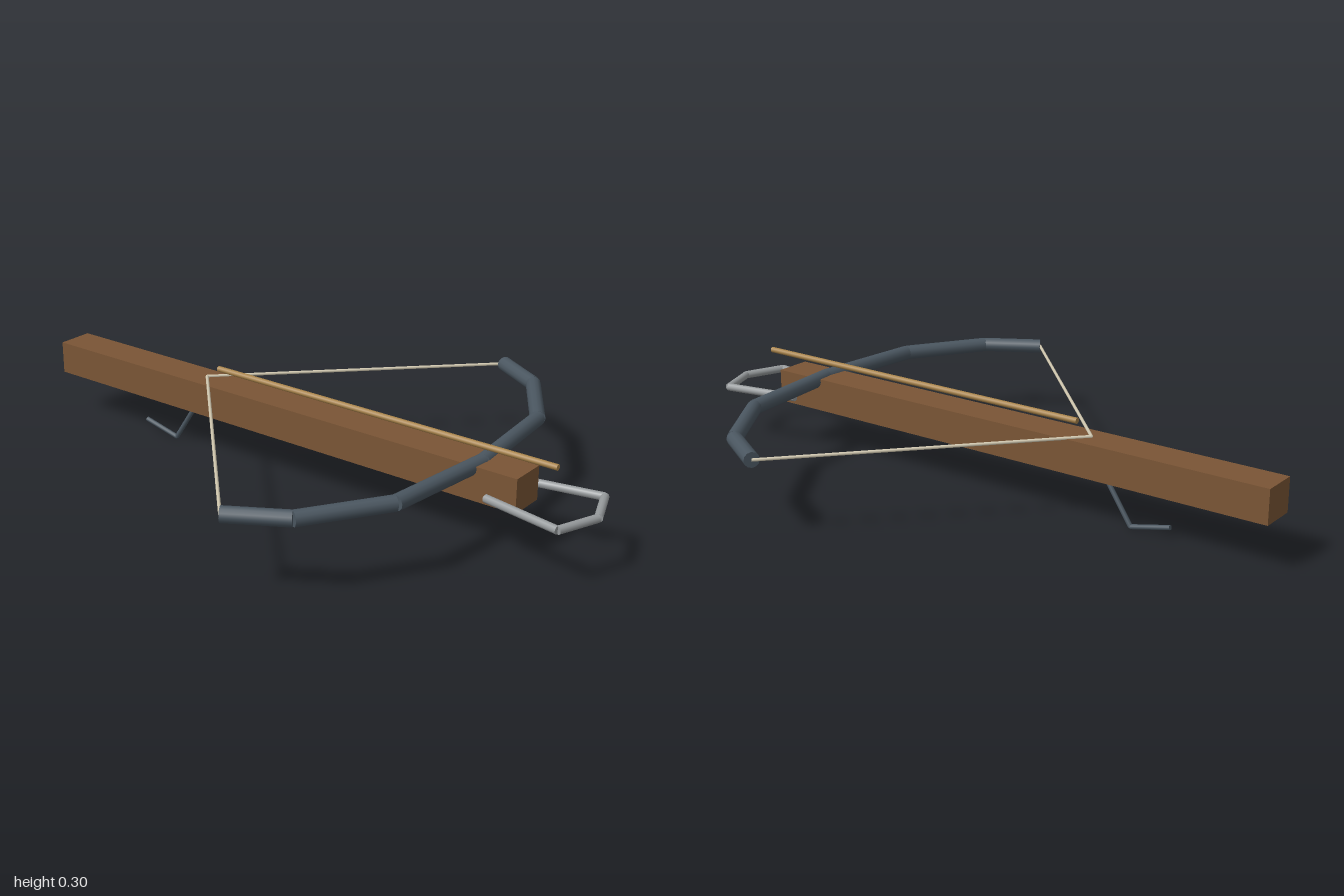
import * as THREE from 'three';

const material = (name, color) => {
  const m = new THREE.MeshStandardMaterial({ color });
  m.name = name;
  return m;
};

// Straight capped rod between two points
function rod(name, a, b, radius, mat, sides = 12) {
  const start = new THREE.Vector3(...a), end = new THREE.Vector3(...b);
  const dir = end.clone().sub(start);
  const mesh = new THREE.Mesh(new THREE.CylinderGeometry(radius, radius, dir.length(), sides), mat);
  mesh.position.copy(start).add(end).multiplyScalar(0.5);
  mesh.quaternion.setFromUnitVectors(new THREE.Vector3(0, 1, 0), dir.normalize());
  mesh.name = name;
  return mesh;
}

// Chain of rods through a list of points
function chain(name, points, radius, mat, sides) {
  const group = new THREE.Group();
  group.name = name;
  for (let i = 1; i < points.length; i++) {
    group.add(rod(name + 'Segment' + i, points[i - 1], points[i], radius, mat, sides));
  }
  return group;
}

export function createModel() {
  const wood = material('stock wood', 0x7a5535);
  const steel = material('dark steel', 0x4a5660);
  const iron = material('light iron', 0x969a9c);
  const cord = material('cord', 0xcfc6ae);
  const shaft = material('bolt wood', 0xa8834a);

  const model = new THREE.Group();
  model.name = 'crossbow';

  // Stock
  const stock = new THREE.Mesh(new THREE.BoxGeometry(1.765, 0.105, 0.117), wood);
  stock.position.set(-0.1175, 0.203, 0);
  stock.name = 'stock';
  model.add(stock);

  // Mirrored bow limbs, string halves and stirrup sides
  for (const s of [1, -1]) {
    const side = s > 0 ? 'Front' : 'Back';
    model.add(chain('bowLimb' + side, [
      [0.618, 0.247, 0], [0.58, 0.247, s * 0.367], [0.425, 0.247, s * 0.605], [0.26, 0.247, s * 0.702],
    ], 0.0235, steel));
    model.add(rod('string' + side, [0.26, 0.247, s * 0.702], [-0.405, 0.258, 0], 0.005, cord, 8));
    model.add(chain('stirrup' + side, [
      [0.682, 0.183, s * 0.082], [0.935, 0.183, s * 0.13], [0.985, 0.183, 0],
    ], 0.0125, iron));
  }

  // Bolt above the stock
  model.add(rod('bolt', [-0.355, 0.295, 0], [0.855, 0.295, 0], 0.0092, shaft, 10));

  // Trigger lever
  model.add(chain('trigger', [[-0.45, 0.155, 0], [-0.545, 0.013, 0], [-0.675, 0.043, 0]], 0.0075, steel));

  return model;
}
